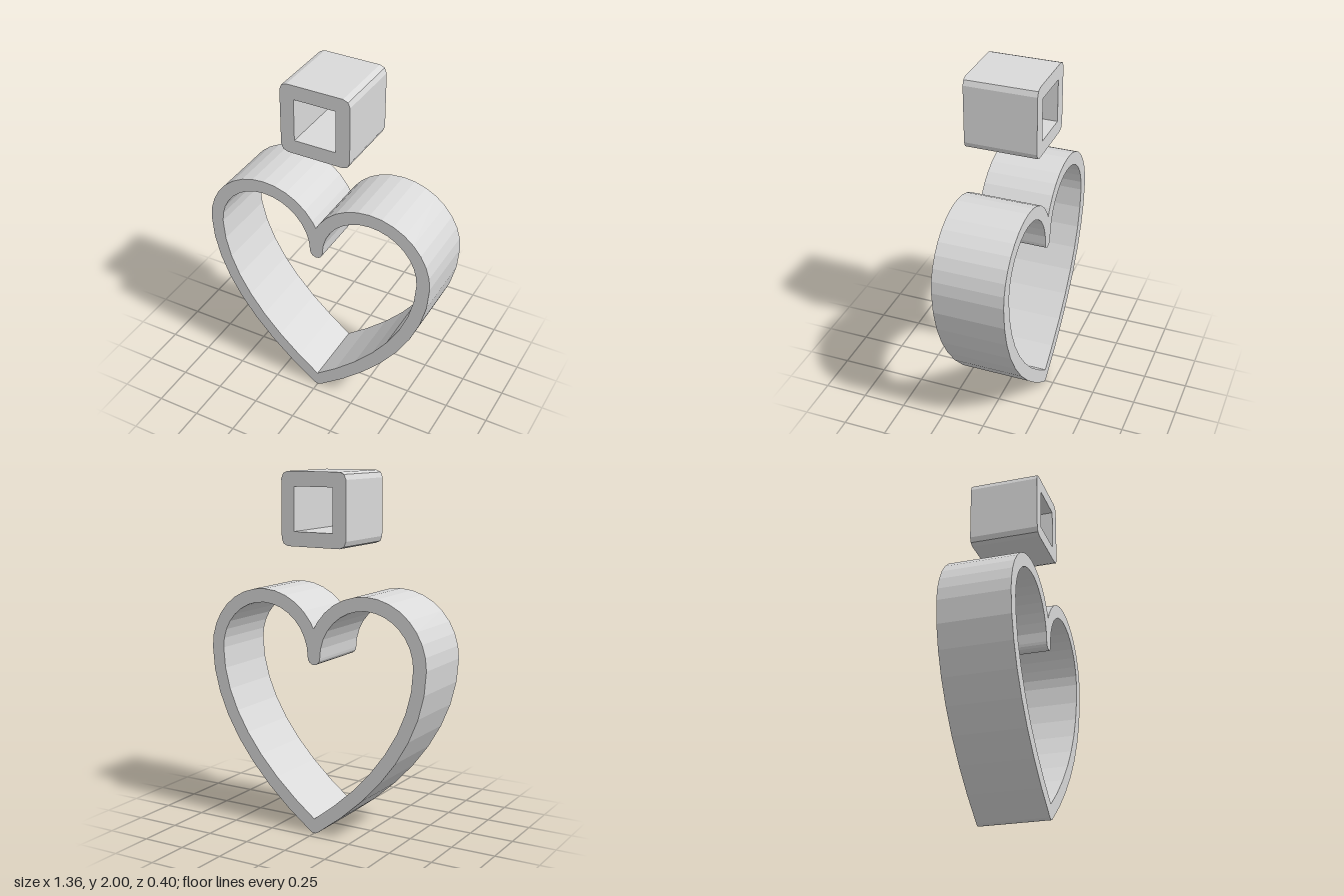
import * as THREE from 'three';

const R = 0.32;       // lobe centreline radius
const W = 0.038;      // half wall thickness
const DEPTH = 0.4;
const LOBE_Y = 1.0;
const V = (x, y) => new THREE.Vector2(x, y);

// Right half of the heart centreline: points with outward normals, from cleft to tip
function centreline() {
  const list = [];
  for (let i = 0; i <= 16; i++) {
    const a = Math.PI * (1 - i / 16);
    const n = V(Math.cos(a), Math.sin(a));
    list.push({ p: V(R + R * n.x, LOBE_Y + R * n.y), n });
  }
  const side = new THREE.CubicBezierCurve(V(2 * R, LOBE_Y), V(2 * R, 0.67), V(0.41, 0.325), V(0, W));
  for (let i = 1; i <= 8; i++) {
    const t = side.getTangent(i / 8);
    list.push({ p: side.getPoint(i / 8), n: V(-t.y, t.x) });
  }
  return list;
}

// Closed counter-clockwise outline from a right half that runs from cleft to tip on x = 0
function mirrored(half) {
  const left = half.slice(1, -1).map(p => V(-p.x, p.y));
  return [...half].reverse().concat(left);
}

// Points of a round corner or end between two angles
function arc(x, y, r, a0, a1, n) {
  return Array.from({ length: n + 1 }, (_, i) => {
    const a = a0 + (a1 - a0) * i / n;
    return V(x + r * Math.cos(a), y + r * Math.sin(a));
  });
}

// Flat-sided prism; both outlines run counter-clockwise
function prism(name, outer, hole, material) {
  const shape = new THREE.Shape(outer);
  shape.holes.push(new THREE.Path(hole));
  const geometry = new THREE.ExtrudeGeometry(shape, { depth: DEPTH, bevelEnabled: false });
  geometry.translate(0, 0, -DEPTH / 2);
  const mesh = new THREE.Mesh(geometry, material);
  mesh.name = name;
  return mesh;
}

export function createModel() {
  const group = new THREE.Group();
  group.name = 'heartPendant';
  const grey = new THREE.MeshStandardMaterial({ color: 0xd9d9d9 });
  grey.name = 'light grey';

  // Heart band: sharp outer cleft, rounded inner cleft and outer tip
  const line = centreline();
  const offset = d => line.map(({ p, n }) => p.clone().addScaledVector(n, d)).filter(p => p.x > 0.001);
  const endN = line[line.length - 1].n;
  const outer = [
    V(0, LOBE_Y + Math.sqrt((R + W) ** 2 - R ** 2)),
    ...offset(W).slice(0, -1),
    ...arc(0, W, W, Math.atan2(endN.y, endN.x), -Math.PI / 2, 2),
  ];
  const inner = [
    ...arc(0, LOBE_Y, W, -Math.PI / 2, 0, 4).slice(0, -1),
    ...offset(-W),
    V(0, W - W / endN.y),
  ];
  group.add(prism('heartBand', mirrored(outer), mirrored(inner), grey));

  // Square hanging loop with rounded outer corners
  const s = 0.2, r = 0.04, h = 0.12, cy = 1.8;
  const square = [[1, 1], [-1, 1], [-1, -1], [1, -1]];
  const loopOuter = square.flatMap(([x, y], i) =>
    arc(x * (s - r), cy + y * (s - r), r, i * Math.PI / 2, (i + 1) * Math.PI / 2, 2));
  const loopHole = square.map(([x, y]) => V(x * h, cy + y * h));
  group.add(prism('hangingLoop', loopOuter, loopHole, grey));

  return group;
}
